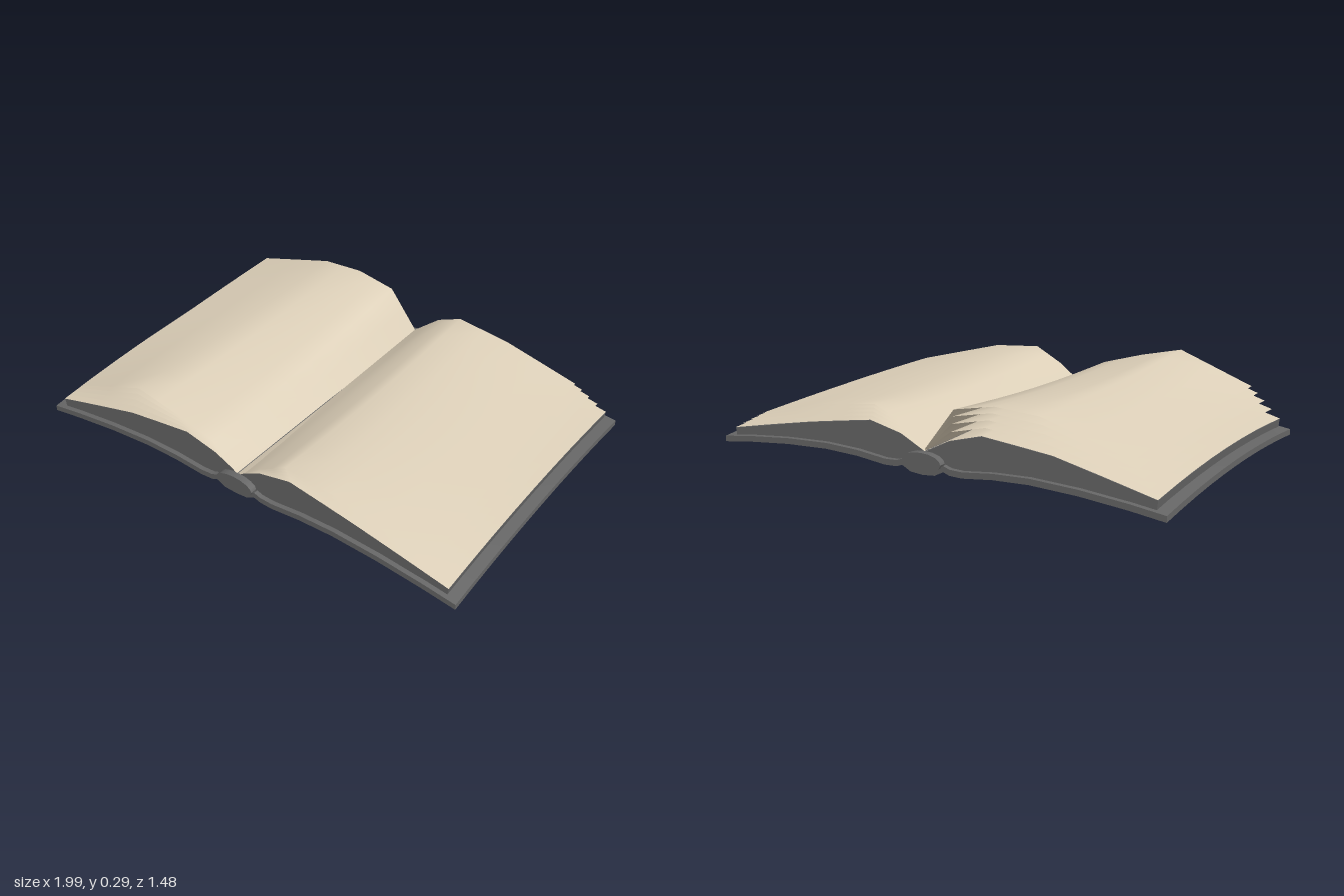
import * as THREE from 'three';
import { toCreasedNormals } from 'three/addons/utils/BufferGeometryUtils.js';

const HALF_DEPTH = 0.594;
const grey = new THREE.MeshStandardMaterial({ color: 0x666666 });
const paper = new THREE.MeshStandardMaterial({ color: 0xdccfb8, side: THREE.DoubleSide });

// Corners of the book droop, and the spine sits a little lower at the back
function sag(x, z) {
  const u = Math.min(Math.abs(x) / 0.908, 1), v = z / HALF_DEPTH;
  return -0.028 * u * u * v * v + 0.012 * v * (1 - u);
}

// Closed outline swept along z, then bent by the sag rule
function sweep(name, outline, halfDepth, crease = 0.6) {
  const shape = new THREE.Shape(outline.map(([x, y]) => new THREE.Vector2(x, y)));
  const geo = new THREE.ExtrudeGeometry(shape, { depth: halfDepth * 2, steps: 10, bevelEnabled: false });
  geo.translate(0, 0, -halfDepth);
  const p = geo.attributes.position;
  for (let i = 0; i < p.count; i++) p.setY(i, p.getY(i) + sag(p.getX(i), p.getZ(i)));
  const mesh = new THREE.Mesh(toCreasedNormals(geo, crease), grey);
  mesh.name = name;
  return mesh;
}

// Underside of one cover, from the spine centre outward
const coverHalf = [[0, 0.022], [0.05, 0.026], [0.085, 0.044], [0.11, 0.035], [0.16, 0.033],
  [0.28, 0.047], [0.42, 0.054], [0.6, 0.05], [0.78, 0.039], [0.908, 0.028]];

// Page curves from gutter to fore edge: lowest sheet, top sheet at front, top sheet at back
const pageCurves = {
  left: {
    side: -1,
    low: [[0, 0.1], [0.1, 0.15], [0.23, 0.185], [0.5, 0.16], [0.87, 0.085]],
    front: [[0, 0.1], [0.11, 0.2], [0.28, 0.25], [0.45, 0.29], [0.75, 0.18]],
    back: [[0, 0.1], [0.12, 0.255], [0.28, 0.285], [0.45, 0.275], [0.78, 0.18]],
  },
  right: {
    side: 1,
    low: [[0, 0.1], [0.1, 0.15], [0.23, 0.18], [0.5, 0.14], [0.87, 0.08]],
    front: [[0, 0.1], [0.1, 0.175], [0.21, 0.235], [0.41, 0.222], [0.79, 0.13]],
    back: [[0, 0.1], [0.11, 0.19], [0.21, 0.232], [0.43, 0.205], [0.73, 0.135]],
  },
};

// One loose leaf: t = 0 lies on the block, t = 1 is the open page
function sheet(name, { side, low, front, back }, t) {
  const cols = low.length - 1, sub = 2, rows = 8;
  const geo = new THREE.PlaneGeometry(1, 1, cols * sub, rows);
  const p = geo.attributes.position;
  for (let i = 0; i < p.count; i++) {
    // keep the grid running left to right so the top side faces up
    const u = (p.getX(i) + 0.5) * cols, v = 0.5 - p.getY(i);
    const along = side > 0 ? u : cols - u;
    const k = Math.min(Math.floor(along), cols - 1), f = along - k;
    const at = (curve, c) => THREE.MathUtils.lerp(curve[k][c], curve[k + 1][c], f);
    const mix = (c) => THREE.MathUtils.lerp(at(low, c),
      THREE.MathUtils.lerp(at(back, c), at(front, c), v), t);
    const x = side * mix(0), z = (v * 2 - 1) * 0.578;
    const dip = -0.02 * t * Math.sin(Math.PI * v) * Math.sin(Math.PI * along / cols);
    p.setXYZ(i, x, mix(1) + dip + sag(x, z) * (1 - 0.7 * t) + 0.002, z);
  }
  geo.computeVertexNormals();
  const mesh = new THREE.Mesh(geo, paper);
  mesh.name = name;
  return mesh;
}

export function createModel() {
  const book = new THREE.Group();
  book.name = 'openBook';

  // Cover boards and spine in one bent sheet
  const under = [...coverHalf.slice(1).reverse().map(([x, y]) => [-x, y]), ...coverHalf];
  const over = under.map(([x, y]) => [x, y + 0.022]).reverse();
  book.add(sweep('cover', [...under, ...over], HALF_DEPTH));

  // Rounded binding along the gutter
  const ring = Array.from({ length: 16 }, (_, i) => {
    const a = i / 16 * Math.PI * 2;
    return [Math.cos(a) * 0.08, 0.069 + Math.sin(a) * 0.034];
  });
  book.add(sweep('binding', ring, 0.603));

  for (const [label, curves] of Object.entries(pageCurves)) {
    const s = curves.side;
    // Solid block of closed pages resting on the cover
    const floor = [[0, 0.04], ...coverHalf.slice(3, 9), [0.865, 0.032]].map(([x, y]) => [x, y + 0.015]);
    const outline = [...floor, ...curves.low.slice().reverse()].map(([x, y]) => [s * x, y]);
    book.add(sweep(label + 'PageBlock', outline, 0.576, 0.3));
    // Fanned leaves above the block
    [0, 0.28, 0.54, 0.78, 1].forEach((t, i) => book.add(sheet(label + 'Page' + (i + 1), curves, t)));
  }

  // The book lies slightly turned
  book.rotation.y = -0.171;
  const model = new THREE.Group();
  model.name = 'book';
  model.add(book);
  return model;
}
